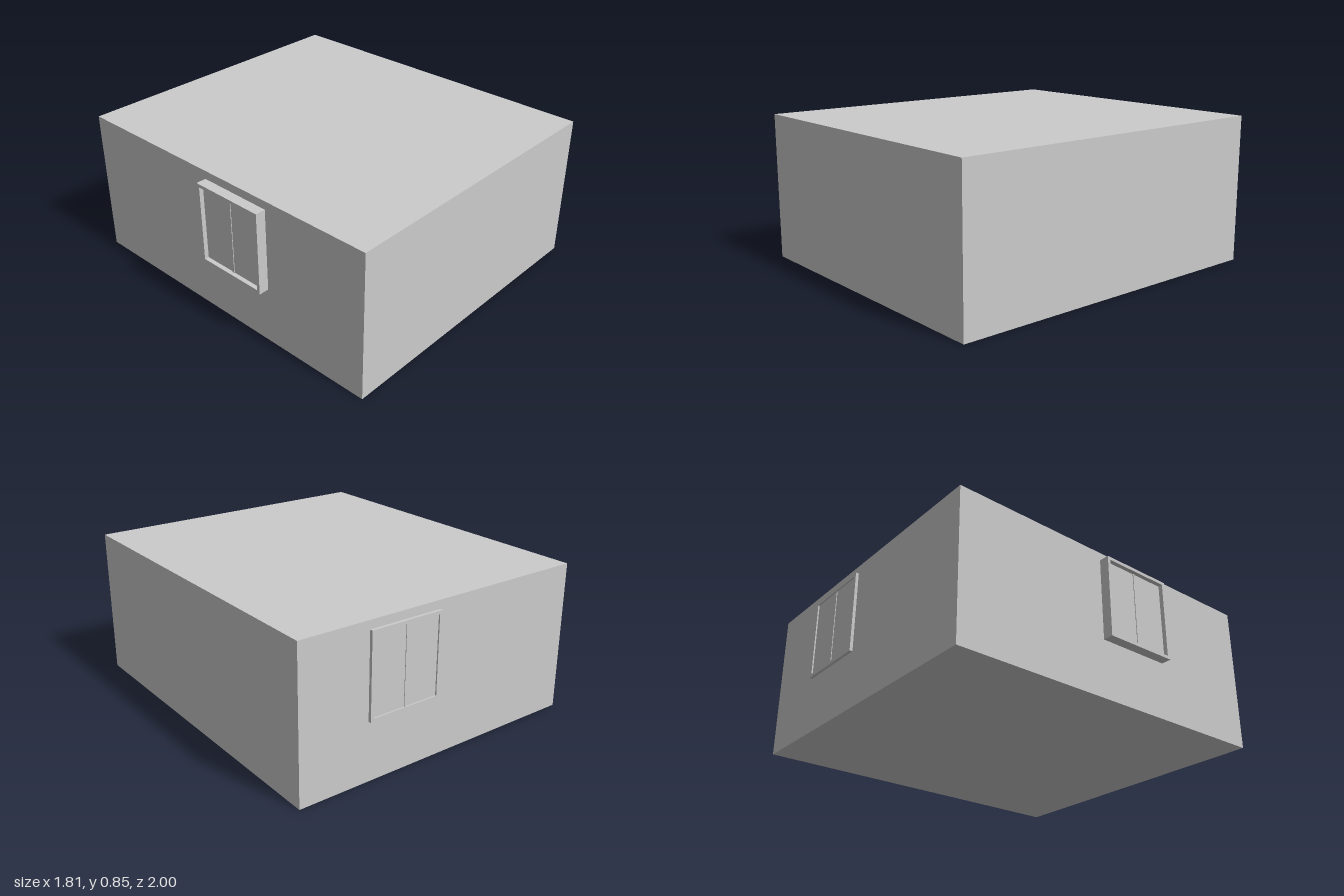
import * as THREE from 'three';

const grey = new THREE.MeshStandardMaterial({ color: 0xcccccc, flatShading: true });

function box(name, w, h, d, x, y, z) {
  const mesh = new THREE.Mesh(new THREE.BoxGeometry(w, h, d), grey);
  mesh.name = name;
  mesh.position.set(x, y, z);
  return mesh;
}

// Window standing on its local z = 0 wall plane and facing +z
function makeWindow(name, depth, recess) {
  const w = 0.434, h = 0.47, rim = 0.018, sash = 0.012;
  const group = new THREE.Group();
  group.name = name;

  // outer frame with a rectangular opening
  const outline = new THREE.Shape();
  outline.moveTo(-w / 2, -h / 2).lineTo(w / 2, -h / 2).lineTo(w / 2, h / 2).lineTo(-w / 2, h / 2);
  const a = w / 2 - rim, b = h / 2 - rim;
  const opening = new THREE.Path();
  opening.moveTo(-a, -b).lineTo(-a, b).lineTo(a, b).lineTo(a, -b);
  outline.holes.push(opening);
  const frame = new THREE.Mesh(
    new THREE.ExtrudeGeometry(outline, { depth, bevelEnabled: false }), grey);
  frame.name = 'windowFrame';
  group.add(frame);

  // two panes either side of a slim centre bar
  const paneDepth = depth - recess;
  for (const s of [-1, 1]) {
    group.add(box('windowPane', a - sash / 2, 2 * b, paneDepth, s * (a + sash / 2) / 2, 0, paneDepth / 2));
  }
  const barDepth = paneDepth + 0.004;
  group.add(box('centreBar', sash, 2 * b, barDepth, 0, 0, barDepth / 2));
  return group;
}

export function createModel() {
  const model = new THREE.Group();
  model.name = 'roomBlock';

  // main block
  model.add(box('roomBody', 1.755, 0.845, 1.983, 0.0285, 0.4225, 0.0085));

  // window on the back wall
  const back = makeWindow('backWindow', 0.017, 0.008);
  back.rotation.y = Math.PI;
  back.position.set(0.287, 0.563, -0.983);
  model.add(back);

  // deeper window on the -x wall
  const side = makeWindow('sideWindow', 0.058, 0.025);
  side.rotation.y = -Math.PI / 2;
  side.position.set(-0.849, 0.563, 0.15);
  model.add(side);

  return model;
}
